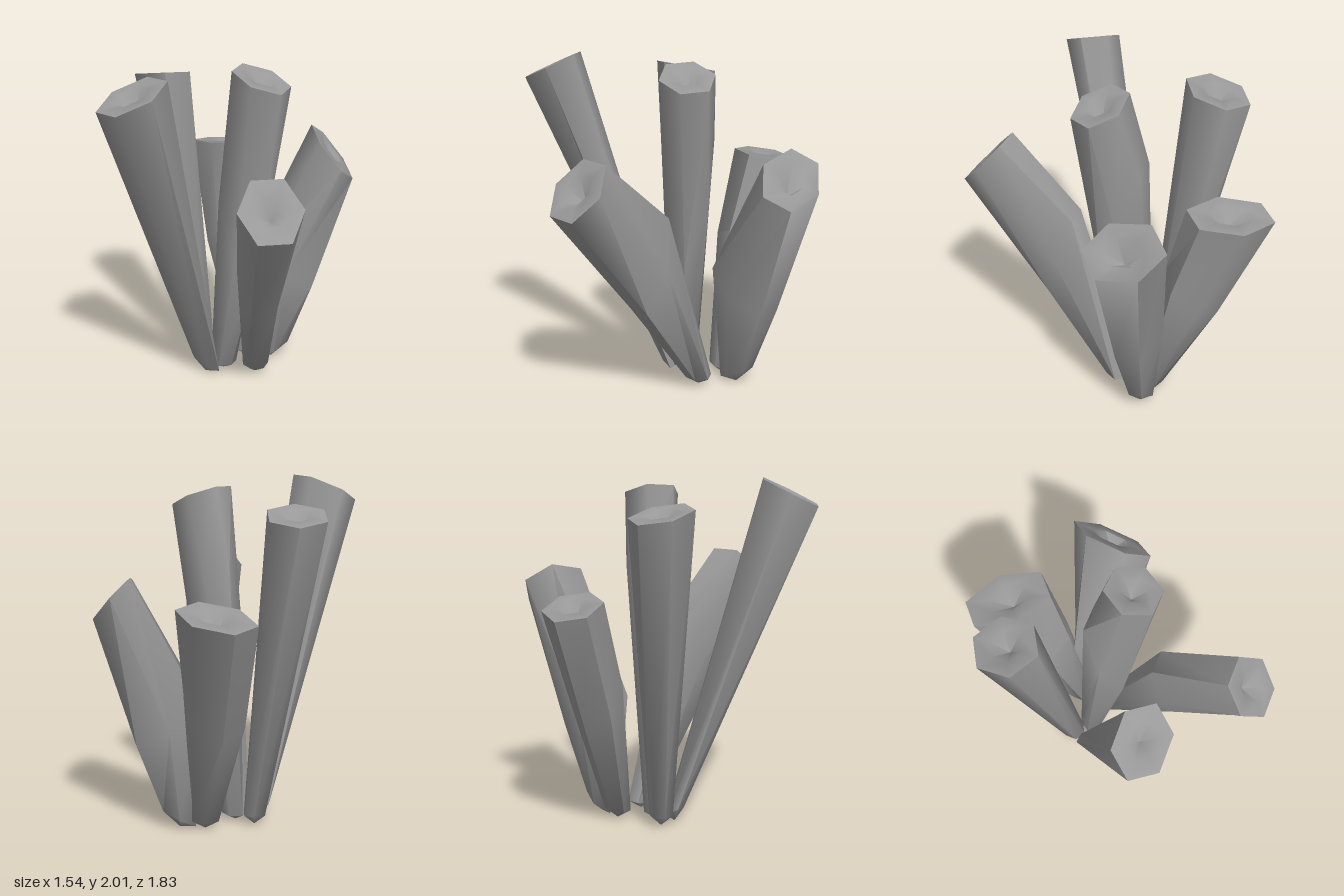
import * as THREE from 'three';
import { toCreasedNormals } from 'three/addons/utils/BufferGeometryUtils.js';

const SIDES = 6;
const stone = new THREE.MeshStandardMaterial({ color: 0x999999 });
stone.name = 'grey stone';

// Tilted hexagon: centre, half widths in x and z, rise of y along x and z,
// turn in sixths of a half circle, and sideways skew along z
function ring(x, y, z, halfX, halfZ, riseX = 0, riseZ = 0, turn = 0, skew = 0) {
  const points = [];
  for (let i = 0; i < SIDES; i++) {
    const angle = (i / SIDES) * Math.PI * 2 + (turn * Math.PI) / 6;
    const dz = Math.sin(angle) * halfZ;
    const dx = Math.cos(angle) * halfX + skew * dz;
    points.push(new THREE.Vector3(x + dx, Math.max(0.005, y + riseX * dx + riseZ * dz), z + dz));
  }
  return points;
}

const centreOf = (points) => points.reduce((sum, p) => sum.add(p), new THREE.Vector3()).divideScalar(SIDES);

// Lofts the rings from foot to rim, then adds a hollow top and a pointed foot
function crystal(name, ...rings) {
  const rim = rings.at(-1);
  const top = centreOf(rim);
  const foot = centreOf(rings[0]);
  const lip = rim.map((p) => p.clone().lerp(top, 0.5));
  const axis = top.clone().sub(foot).normalize();
  const pit = top.clone().addScaledVector(axis, -0.1);
  const layers = [...rings, lip];
  const vertices = [...layers.flat(), pit, foot.setY(0)];

  const last = layers.length - 1;
  const pitIndex = layers.length * SIDES;
  const at = (layer, i) => layer * SIDES + (i % SIDES);
  const index = [];
  for (let i = 0; i < SIDES; i++) {
    for (let k = 0; k < last; k++) {
      const a = at(k, i), b = at(k, i + 1), c = at(k + 1, i), d = at(k + 1, i + 1);
      index.push(b, a, c, b, c, d);
    }
    index.push(at(last, i + 1), at(last, i), pitIndex);
    index.push(at(0, i), at(0, i + 1), pitIndex + 1);
  }
  const geometry = new THREE.BufferGeometry().setFromPoints(vertices);
  geometry.setIndex(index);
  const mesh = new THREE.Mesh(toCreasedNormals(geometry, 1.1), stone);
  mesh.name = name;
  return mesh;
}

export function createModel() {
  const group = new THREE.Group();
  group.name = 'crystalCluster';
  group.add(
    crystal('leftLeaningCrystal',
      ring(-0.14, 0.06, -0.11, 0.07, 0.07, -0.5, 0, 0, 0.7),
      ring(-0.58, 1.93, 0.39, 0.19, 0.15, 0.4, -0.25)),
    crystal('backLeftCrystal',
      ring(-0.13, 0.06, -0.22, 0.07, 0.07, 0, 0, 1),
      ring(-0.34, 1.84, -0.46, 0.18, 0.19, 0, 0.25, 1)),
    crystal('backCrystal',
      ring(0.16, 0.05, -0.28, 0.09, 0.06, 0, 0, 1),
      ring(0.11, 0.77, -0.49, 0.17, 0.15, 0, 1, 1, 0.3),
      ring(0.1, 1.33, -0.69, 0.2, 0.23, 0, 0.2, 1, 0.4)),
    crystal('rightCrystal',
      ring(0.31, 0.06, -0.25, 0.11, 0.08, 0.5, 0, 1),
      ring(0.36, 0.62, -0.25, 0.22, 0.15, -0.55, 0, 1),
      ring(0.67, 1.36, -0.27, 0.12, 0.24, -1.1, -0.2, 1)),
    crystal('centreCrystal',
      ring(-0.02, 0.04, -0.14, 0.08, 0.07),
      ring(0.09, 1.15, -0.06, 0.15, 0.14, 0, -3),
      ring(0.17, 1.91, 0.05, 0.17, 0.16, -0.3, -0.25)),
    crystal('frontCrystal',
      ring(0.17, 0.05, -0.06, 0.08, 0.08),
      ring(0.13, 0.87, 0.31, 0.14, 0.1, 0, -3.1),
      ring(0.09, 1.4, 0.79, 0.18, 0.14, 0, -1.1)),
  );
  return group;
}
